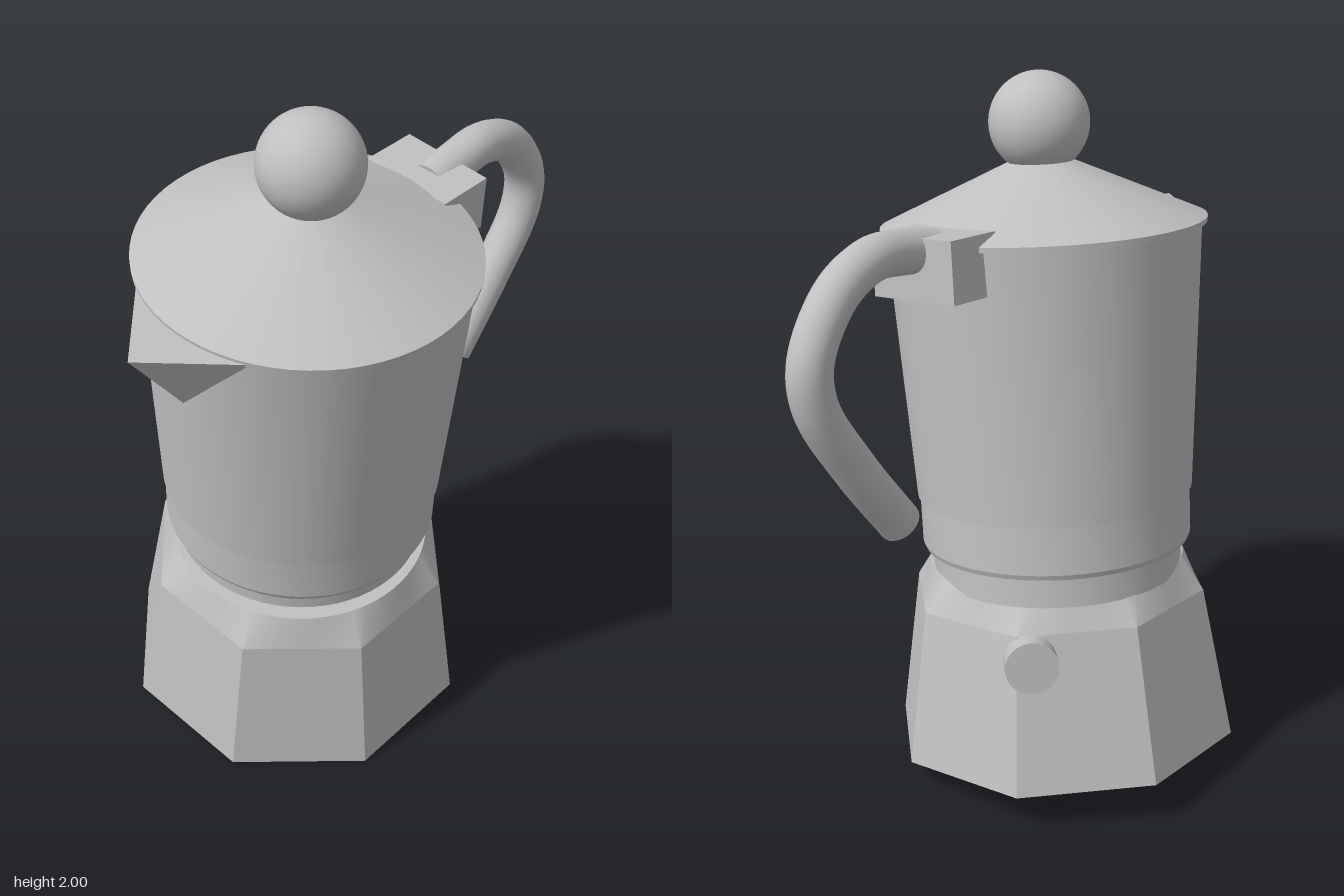
import * as THREE from 'three';
import { toCreasedNormals } from 'three/addons/utils/BufferGeometryUtils.js';
import { ConvexGeometry } from 'three/addons/geometries/ConvexGeometry.js';

export function createModel() {
  const root = new THREE.Group();
  const metal = new THREE.MeshStandardMaterial({ color: 0xc0c0c0 });
  metal.name = 'grey metal';

  const add = (parent, name, geometry, x = 0, y = 0, z = 0) => {
    const mesh = new THREE.Mesh(geometry, metal);
    mesh.name = name;
    mesh.position.set(x, y, z);
    parent.add(mesh);
    return mesh;
  };
  // Turned part from [radius, height] pairs, bottom to top
  const turned = (points) => toCreasedNormals(
    new THREE.LatheGeometry(points.map(([r, y]) => new THREE.Vector2(r, y)), 64), 0.25);

  // The whole pot leans slightly forward
  const pot = new THREE.Group();
  pot.name = 'leaningPot';
  pot.position.set(-0.147, 0.068, -0.043);
  pot.quaternion.setFromUnitVectors(
    new THREE.Vector3(0, 1, 0), new THREE.Vector3(0.036, 1, 0.122).normalize());
  root.add(pot);

  // Eight-sided boiler with a shoulder running from octagon to circle
  const base = new THREE.Group();
  base.name = 'boiler';
  base.position.z = 0.03;
  base.rotation.y = 0.02;
  pot.add(base);
  const c8 = Math.cos(Math.PI / 8);
  const sides = new THREE.CylinderGeometry(0.405 / c8, 0.475 / c8, 0.45, 8).rotateY(Math.PI / 8);
  add(base, 'boilerSides', toCreasedNormals(sides, 0.3), 0, 0.225, 0);

  const shoulder = new THREE.CylinderGeometry(0.373, 0.405, 0.095, 64);
  const p = shoulder.attributes.position;
  for (let i = 0; i < p.count; i++) {
    if (p.getY(i) > 0) continue;
    const quarter = Math.PI / 4;
    const a = Math.atan2(p.getX(i), p.getZ(i));
    const k = 1 / Math.cos(a - Math.round(a / quarter) * quarter);
    p.setXYZ(i, p.getX(i) * k, p.getY(i), p.getZ(i) * k);
  }
  add(base, 'boilerShoulder', toCreasedNormals(shoulder, 0.6), 0, 0.4975, 0);

  // Safety valve on the back
  add(pot, 'safetyValve', toCreasedNormals(
    new THREE.CylinderGeometry(0.075, 0.075, 0.07, 32).rotateX(Math.PI / 2), 0.6), 0.125, 0.379, -0.4);

  // Neck, collar and jug
  add(pot, 'neck', turned([[0, 0.52], [0.362, 0.52], [0.362, 0.62], [0, 0.62]]));
  add(pot, 'collar', turned([[0, 0.61], [0.385, 0.61], [0.391, 0.625], [0.391, 0.77], [0, 0.77]]));
  add(pot, 'jug', turned([[0, 0.762], [0.398, 0.762], [0.441, 1.53], [0, 1.53]]));

  // Conical lid and round knob
  add(pot, 'lid', turned([[0, 1.522], [0.455, 1.522], [0.456, 1.537], [0.09, 1.7], [0, 1.705]]));
  add(pot, 'knob', new THREE.SphereGeometry(0.14, 48, 32), 0, 1.806, 0);

  // Pointed spout at the front right corner
  add(pot, 'spout', new ConvexGeometry([
    new THREE.Vector3(-0.43, 1.528, 0.427),
    new THREE.Vector3(-0.43, 1.528, 0.13),
    new THREE.Vector3(-0.14, 1.528, 0.43),
    new THREE.Vector3(-0.31, 1.285, 0.31),
  ]));

  // Hinge block opposite the spout
  const block = add(pot, 'hingeBlock', new THREE.BoxGeometry(0.17, 0.165, 0.28), 0.32, 1.487, -0.32);
  block.rotation.y = Math.PI / 4;

  // Curved handle with closed ends
  const path = new THREE.CatmullRomCurve3([
    [0.235, 1.605, -0.17], [0.31, 1.625, -0.25], [0.39, 1.635, -0.34], [0.48, 1.58, -0.45],
    [0.545, 1.44, -0.53], [0.54, 1.32, -0.53], [0.45, 1.12, -0.46], [0.34, 0.92, -0.365],
  ].map((v) => new THREE.Vector3(...v)));
  const radius = 0.059;
  const handle = new THREE.Group();
  handle.name = 'handle';
  root.add(handle);
  add(handle, 'handleTube', new THREE.TubeGeometry(path, 64, radius, 24));
  for (const t of [0, 1]) {
    const at = path.getPoint(t);
    const cap = add(handle, 'handleEnd', new THREE.CircleGeometry(radius, 24), at.x, at.y, at.z);
    const out = path.getTangent(t).multiplyScalar(t ? 1 : -1);
    cap.quaternion.setFromUnitVectors(new THREE.Vector3(0, 0, 1), out);
  }
  return root;
}
